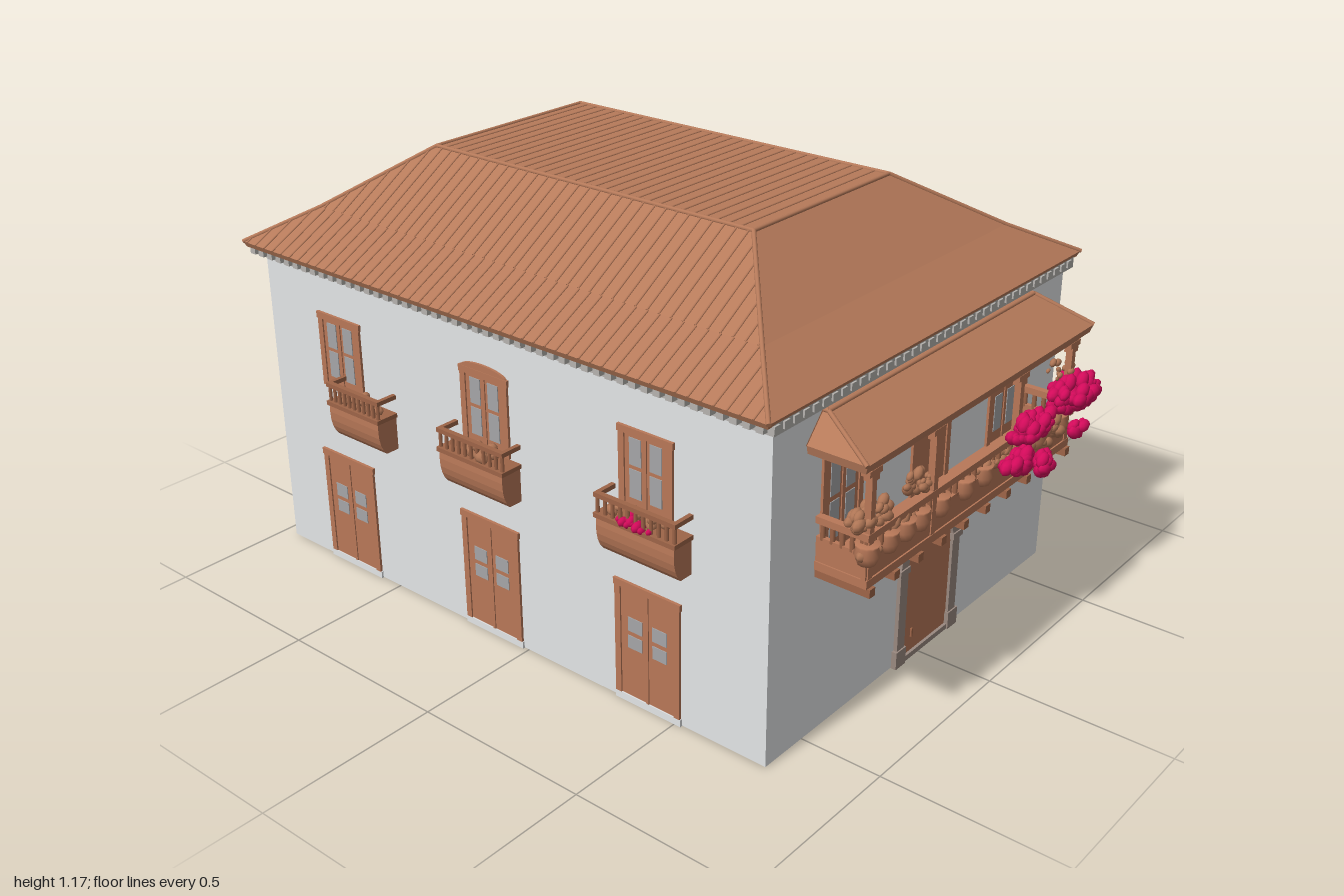
import * as THREE from 'three';
import { mergeGeometries } from 'three/addons/utils/BufferGeometryUtils.js';

const mat = (name, color) => {
  const m = new THREE.MeshStandardMaterial({ color });
  m.name = name;
  return m;
};

export function createModel() {
  const model = new THREE.Group();
  model.name = 'house';
  const plaster = mat('plaster', 0xf8fafc), tile = mat('roofTile', 0xb67a5a), wood = mat('wood', 0xb87858);
  const darkWood = mat('darkWood', 0x9e6548), stone = mat('stone', 0x9a8980), cornice = mat('cornice', 0xb6b3af);
  const glass = mat('glass', 0xa6a6a8), bloom = mat('blossom', 0xd20a5a), earth = mat('earth', 0xb3aa9e);
  const leaf = mat('dryLeaves', 0xae7555);

  let seed = 7;
  const rnd = () => (seed = (seed * 16807) % 2147483647) / 2147483647;
  const add = (parent, name, geo, material, x = 0, y = 0, z = 0) => {
    const m = new THREE.Mesh(geo, material);
    m.name = name;
    m.position.set(x, y, z);
    parent.add(m);
    return m;
  };
  const box = (w, h, d, x = 0, y = 0, z = 0) => new THREE.BoxGeometry(w, h, d).translate(x, y, z);
  const V = (x, y, z) => new THREE.Vector3(x, y, z);
  // Rod joining two points
  const rod = (a, b, r, sides = 6) => {
    const d = b.clone().sub(a), g = new THREE.CylinderGeometry(r, r, d.length(), sides);
    g.applyQuaternion(new THREE.Quaternion().setFromUnitVectors(V(0, 1, 0), d.normalize()));
    return g.translate((a.x + b.x) / 2, (a.y + b.y) / 2, (a.z + b.z) / 2);
  };
  // Cluster of small rounded, flattened lumps in an ellipsoid
  const cluster = (n, x, y, z, rx, ry, rz, s) => {
    const out = [];
    for (let i = 0; i < n; i++) {
      const a = rnd() * Math.PI * 2, c = rnd() * 2 - 1, q = Math.sqrt(1 - c * c), k = Math.cbrt(rnd());
      out.push(new THREE.SphereGeometry(s * (0.6 + 0.7 * rnd()), 8, 6).scale(1.25, 0.85, 0.8).rotateZ(c)
        .translate(x + rx * k * q * Math.cos(a), y + ry * k * c, z + rz * k * q * Math.sin(a)));
    }
    return mergeGeometries(out);
  };

  // Walls, base and cornice
  add(model, 'walls', box(1.29, 0.89, 1.73), plaster, 0, 0.447, -0.09);
  add(model, 'base', box(1.28, 0.004, 1.72), earth, 0, 0.002, -0.09);
  add(model, 'cornice', box(1.33, 0.03, 1.77), cornice, 0, 0.893, -0.093);

  // Tiled roof: rings from eave to top, [x half-width, y, back z, front z]
  function roof(name, rings) {
    const g = new THREE.Group();
    g.name = name;
    const pos = [];
    const quad = (a, b, c, d) => [a, b, c, a, c, d].forEach(p => pos.push(p.x, p.y, p.z));
    const loops = rings.map(([x, y, b, f]) => [V(-x, y, f), V(x, y, f), V(x, y, b), V(-x, y, b)]);
    for (let k = 0; k + 1 < loops.length; k++)
      for (let i = 0; i < 4; i++) {
        const j = (i + 1) % 4;
        quad(loops[k][i], loops[k][j], loops[k + 1][j], loops[k + 1][i]);
      }
    const top = loops[loops.length - 1];
    quad(...top);
    quad(...[...loops[0]].reverse());
    const geo = new THREE.BufferGeometry();
    geo.setAttribute('position', new THREE.Float32BufferAttribute(pos, 3));
    geo.computeVertexNormals();
    add(g, 'roofSlopes', geo, tile);
    // Rounded hip and ridge caps
    const caps = [];
    for (let i = 0; i < 4; i++) {
      for (let k = 1; k + 1 < loops.length; k++) caps.push(rod(loops[k][i], loops[k + 1][i], 0.006, 8));
      caps.push(rod(top[i], top[(i + 1) % 4], 0.006, 8));
    }
    add(g, 'ridgeCaps', mergeGeometries(caps), tile);
    model.add(g);
  }
  const rings = [[0.685, 0.903, -0.985, 0.79], [0.692, 0.918, -0.99, 0.797], [0.53, 1.005, -0.85, 0.655],
    [0.285, 1.16, -0.64, 0.44]];
  roof('mainRoof', rings);
  roof('balconyRoof', [[0.515, 0.775, 0.77, 0.93], [0.52, 0.797, 0.77, 0.937], [0.46, 0.865, 0.77, 0.79]]);

  // Low tile ribs across the top and down the long slopes, stopping at the hips
  const ribs = [];
  for (let k = 1; k < 3; k++) {
    const [x0, y0, b0, f0] = rings[k], [x1, y1, b1, f1] = rings[k + 1];
    for (let z = b0 + 0.018; z < f0; z += 0.036) {
      const t = Math.min(1, (z - b0) / (b1 - b0), (f0 - z) / (f0 - f1));
      for (const s of [-1, 1]) ribs.push(rod(V(s * x0, y0, z), V(s * (x0 + (x1 - x0) * t), y0 + (y1 - y0) * t, z), 0.003));
    }
  }
  for (let z = -0.61; z < 0.43; z += 0.036) ribs.push(rod(V(-0.285, 1.16, z), V(0.285, 1.16, z), 0.003));
  add(model, 'tileRibs', mergeGeometries(ribs), tile);

  // Eave tile ends
  const ends = [];
  for (let z = -0.96; z < 0.78; z += 0.036) for (const s of [-1, 1]) ends.push(box(0.03, 0.018, 0.02, s * 0.67, 0.896, z));
  for (let x = -0.66; x < 0.67; x += 0.036) for (const z of [-0.975, 0.782]) ends.push(box(0.02, 0.018, 0.03, x, 0.896, z));
  add(model, 'eaveTileEnds', mergeGeometries(ends), cornice);

  // Openings are built facing +z with their foot at y = 0
  function opening(name, w, h, panes) {
    const g = new THREE.Group();
    g.name = name;
    add(g, 'panel', box(w, h, 0.006, 0, h / 2, 0), wood);
    const f = 0.018;
    add(g, 'frame', mergeGeometries([box(f, h, 0.012, -w / 2 + f / 2, h / 2, 0.001), box(f, h, 0.012, w / 2 - f / 2, h / 2, 0.001),
      box(w + 0.006, f, 0.014, 0, h - f / 2, 0.001), box(0.008, h, 0.01, 0, h / 2, 0.001)]), wood);
    const parts = [];
    for (const [y0, y1] of panes) for (const s of [-1, 1]) parts.push(box(w * 0.22, (y1 - y0) * h, 0.004, s * w * 0.19, (y0 + y1) / 2 * h, 0.003));
    if (parts.length) add(g, 'panes', mergeGeometries(parts), glass);
    return g;
  }
  const winPanes = [[0.15, 0.5], [0.55, 0.88]], doorPanes = [[0.43, 0.54], [0.58, 0.7]];
  const place = (g, x, y, z, ry = 0) => {
    g.position.set(x, y, z);
    g.rotation.y = ry;
    model.add(g);
  };

  // Small balcony, bowed below, with balusters and a rail
  function smallBalcony(w) {
    const g = new THREE.Group();
    g.name = 'smallBalcony';
    const s = new THREE.Shape();
    s.moveTo(0, 0);
    s.lineTo(0.04, 0);
    s.quadraticCurveTo(0.07, 0.03, 0.062, 0.1);
    s.lineTo(0, 0.1);
    const body = new THREE.ExtrudeGeometry(s, { depth: w - 0.01, bevelEnabled: false, curveSegments: 5 });
    add(g, 'bowedBase', body.rotateY(-Math.PI / 2).translate(w / 2 - 0.005, 0, 0), wood);
    const rails = [box(w, 0.012, 0.014, 0, 0.153, 0.058), box(w, 0.012, 0.07, 0, 0.1, 0.033)];
    for (const e of [-1, 1]) rails.push(box(0.012, 0.012, 0.06, e * (w / 2 - 0.006), 0.153, 0.03));
    for (let i = 0; i <= 10; i++) rails.push(rod(V((i / 10 - 0.5) * (w - 0.014), 0.1, 0.058), V((i / 10 - 0.5) * (w - 0.014), 0.152, 0.058), 0.005));
    add(g, 'railing', mergeGeometries(rails), darkWood);
    add(g, 'plants', cluster(14, 0, 0.125, 0.042, w * 0.42, 0.02, 0.012, 0.014), leaf);
    return g;
  }

  // Both long sides: door below, window and balcony above
  for (const s of [-1, 1]) {
    const ry = s * Math.PI / 2, x = s * 0.645;
    [[0.415, 0.415, 0.43, 0.25], [-0.12, -0.115, -0.115, 0.235], [-0.675, -0.665, -0.56, 0.205]].forEach(([dz, wz, bz, bw], i) => {
      place(opening('sideDoor', 0.205, 0.325, doorPanes), x, 0.02, dz, ry);
      add(model, 'doorStep', box(0.012, 0.02, 0.21), plaster, x, 0.01, dz);
      place(opening('sideWindow', 0.165, 0.215, winPanes), x, 0.55, wz, ry);
      place(smallBalcony(bw), x, 0.44, bz, ry);
      if (i === (s > 0 ? 2 : 0))
        add(model, 'sideBlossoms', cluster(16, s * 0.7, 0.55, bz, 0.014, 0.014, 0.06, 0.012), bloom);
    });
  }
  const head = new THREE.CylinderGeometry(0.1, 0.1, 0.014, 16, 1, false, -Math.PI / 2, Math.PI);
  head.rotateX(-Math.PI / 2).scale(0.8, 0.2, 1);
  for (const s of [-1, 1]) {
    const m = add(model, 'curvedWindowHead', head, wood, s * 0.645, 0.763, -0.115);
    m.rotation.y = s * Math.PI / 2;
  }

  // Arched front door with stone surround
  const arch = (r, spring, Cls) => {
    const p = new Cls();
    p.moveTo(-r, 0);
    p.lineTo(r, 0);
    p.lineTo(r, spring);
    p.absarc(0, spring, r, 0, Math.PI, false);
    p.lineTo(-r, 0);
    return p;
  };
  const surround = arch(0.14, 0.275, THREE.Shape);
  surround.holes.push(arch(0.106, 0.275, THREE.Path));
  const ext = (s, depth) => new THREE.ExtrudeGeometry(s, { depth, bevelEnabled: false, curveSegments: 16 });
  add(model, 'doorSurround', ext(surround, 0.016), stone, 0.035, 0, 0.77);
  add(model, 'frontDoor', ext(arch(0.107, 0.275, THREE.Shape), 0.008), wood, 0.035, 0, 0.77);
  for (const s of [-1, 1]) {
    add(model, 'doorCapital', box(0.045, 0.018, 0.02), stone, 0.035 + s * 0.125, 0.28, 0.78);
    add(model, 'doorPlinth', box(0.045, 0.05, 0.02), stone, 0.035 + s * 0.125, 0.025, 0.78);
  }
  add(model, 'doorHandle', box(0.006, 0.025, 0.006), darkWood, -0.03, 0.07, 0.78);
  add(model, 'doorStep', box(0.21, 0.015, 0.016), stone, 0.035, 0.0075, 0.778);

  // Front balcony
  place(opening('balconyWindow', 0.165, 0.29, winPanes), -0.375, 0.47, 0.775);
  place(opening('balconyDoor', 0.175, 0.29, []), 0.01, 0.47, 0.775);
  place(opening('balconyWindow', 0.165, 0.29, winPanes), 0.37, 0.47, 0.775);
  const frame = [box(0.95, 0.022, 0.15, 0, 0.472, 0.845), box(0.95, 0.018, 0.02, 0, 0.592, 0.91), box(0.95, 0.075, 0.012, 0, 0.51, 0.91),
    box(0.95, 0.022, 0.022, 0, 0.775, 0.91)];
  for (const s of [-1, 1])
    frame.push(box(0.012, 0.075, 0.14, s * 0.465, 0.51, 0.84), box(0.02, 0.018, 0.14, s * 0.465, 0.592, 0.84), box(0.022, 0.022, 0.14, s * 0.465, 0.775, 0.84));
  add(model, 'balconyFrame', mergeGeometries(frame), wood);
  const posts = [];
  for (const x of [-0.46, -0.195, 0.195, 0.46])
    posts.push(box(0.018, 0.3, 0.018, x, 0.625, 0.91), box(0.05, 0.015, 0.024, x, 0.757, 0.91), box(0.03, 0.015, 0.024, x, 0.742, 0.91));
  add(model, 'balconyPosts', mergeGeometries(posts), wood);
  const balusters = [], joists = [];
  for (let i = 0; i <= 32; i++) balusters.push(rod(V(-0.465 + i * 0.029, 0.54, 0.91), V(-0.465 + i * 0.029, 0.592, 0.91), 0.007));
  for (const s of [-1, 1]) for (let z = 0.79; z < 0.9; z += 0.027) balusters.push(rod(V(s * 0.465, 0.54, z), V(s * 0.465, 0.592, z), 0.007));
  for (let i = 0; i < 10; i++) joists.push(box(0.022, 0.022, 0.155, -0.46 + i * 0.1022, 0.45, 0.85));
  add(model, 'balusters', mergeGeometries(balusters), darkWood);
  add(model, 'joists', mergeGeometries(joists), darkWood);

  // Hanging pots and plants along the rail
  const pot = new THREE.LatheGeometry([[0.001, 0], [0.022, 0.006], [0.032, 0.03], [0.026, 0.05], [0.03, 0.058], [0.001, 0.058]]
    .map(p => new THREE.Vector2(...p)), 12);
  for (const x of [-0.46, -0.38, -0.31, -0.25, -0.16, -0.05, 0.04, 0.3, 0.42])
    add(model, 'flowerPot', pot, wood, x, 0.515, 0.908);
  add(model, 'railPlants', mergeGeometries([cluster(45, -0.43, 0.62, 0.89, 0.07, 0.035, 0.03, 0.014), cluster(22, -0.23, 0.63, 0.89, 0.045, 0.03, 0.025, 0.012),
    cluster(25, -0.36, 0.55, 0.905, 0.13, 0.035, 0.02, 0.015), cluster(20, 0.08, 0.56, 0.91, 0.07, 0.025, 0.02, 0.014),
    cluster(40, 0.37, 0.55, 0.91, 0.12, 0.045, 0.025, 0.016), cluster(14, 0.45, 0.68, 0.89, 0.06, 0.025, 0.03, 0.009)]), leaf);

  // Blossom sprays
  add(model, 'blossoms', mergeGeometries([[60, 0.22, 0.615, 0.94, 0.085, 0.03, 0.035], [35, 0.13, 0.555, 0.95, 0.07, 0.02, 0.025],
    [25, 0.265, 0.505, 0.955, 0.03, 0.025, 0.025], [95, 0.46, 0.625, 0.93, 0.1, 0.04, 0.045], [40, 0.54, 0.585, 0.88, 0.03, 0.045, 0.06],
    [18, 0.44, 0.54, 0.96, 0.025, 0.025, 0.015]].map(a => cluster(...a, 0.017))), bloom);
  return model;
}
